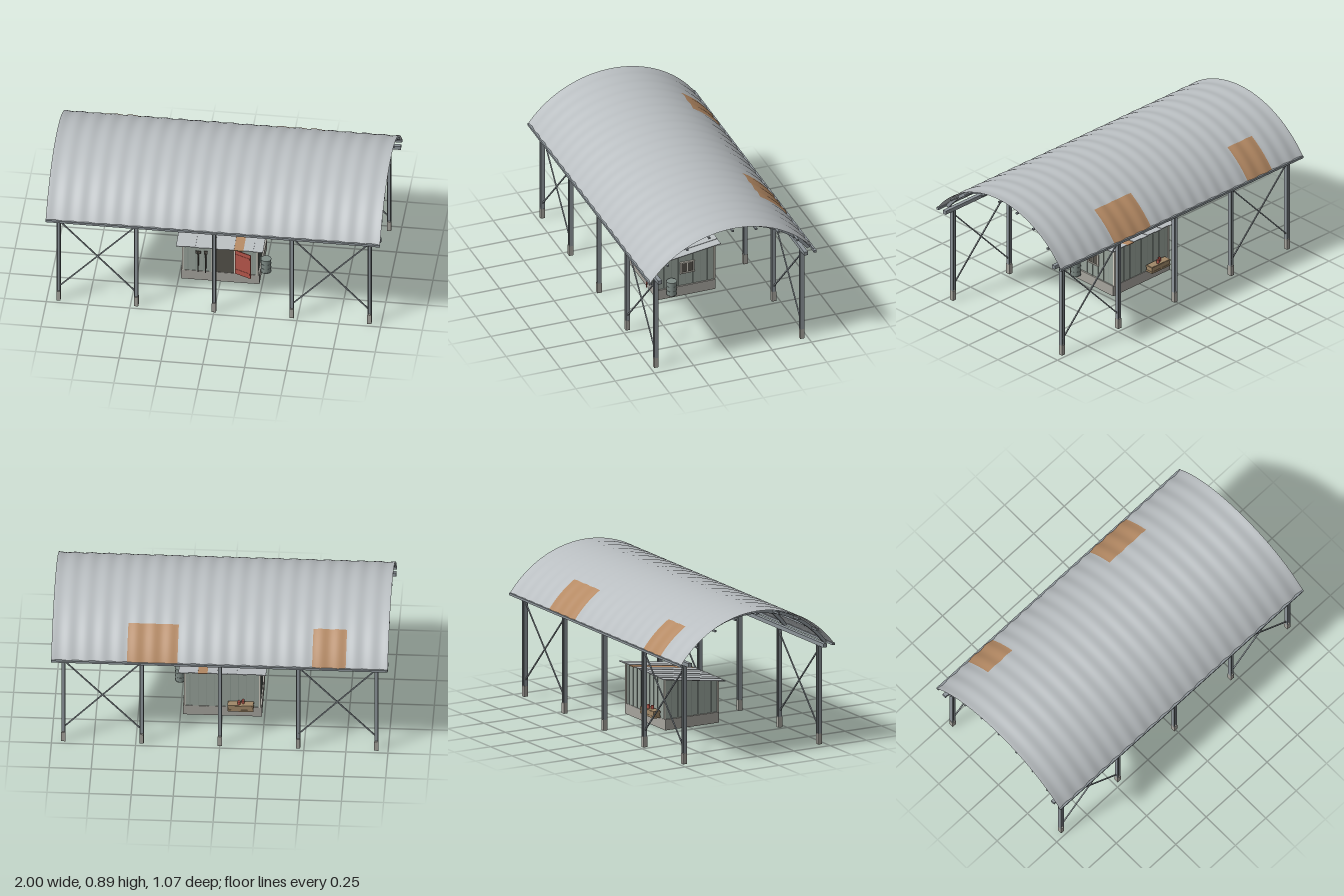
import * as THREE from 'three';
import { ParametricGeometry } from 'three/addons/geometries/ParametricGeometry.js';

const mat = (color, side = THREE.FrontSide) => new THREE.MeshStandardMaterial({ color, side });
const sheet = mat(0xb9bec1, THREE.DoubleSide), rust = mat(0xb58a64, THREE.DoubleSide);
const steel = mat(0x8d959a), concrete = mat(0xa6a49d), wallPaint = mat(0x98a39b);
const batten = mat(0x8c9890), trim = mat(0xd2cec2), dark = mat(0x55524b), red = mat(0xb3554a);
const wood = mat(0xa08868), drumPaint = mat(0x7f8c87);

const R = 0.653, CY = 0.235, HALF = 0.945; // roof arc radius, centre height, half angle

function mesh(parent, name, geometry, material, x = 0, y = 0, z = 0) {
  const m = new THREE.Mesh(geometry, material);
  m.name = name;
  m.position.set(x, y, z);
  parent.add(m);
  return m;
}

function box(parent, name, material, w, h, d, x, y, z) {
  return mesh(parent, name, new THREE.BoxGeometry(w, h, d), material, x, y, z);
}

function cylinder(parent, name, material, r, h, x, y, z, sides = 20) {
  return mesh(parent, name, new THREE.CylinderGeometry(r, r, h, sides), material, x, y, z);
}

// Square bar between two points
function bar(parent, name, material, a, b, size) {
  const m = box(parent, name, material, size, size, a.distanceTo(b), 0, 0, 0);
  m.position.copy(a).add(b).multiplyScalar(0.5);
  m.lookAt(b);
  return m;
}

// Rippled curved sheet between two x positions and two arc angles
function curvedSheet(x0, x1, a0, a1, lift = 0) {
  const fn = (u, v, p) => {
    const x = x0 + (x1 - x0) * u, a = a0 + (a1 - a0) * v;
    const r = R + lift + 0.0025 * Math.cos(x * Math.PI * 20);
    p.set(x, CY + r * Math.cos(a), r * Math.sin(a));
  };
  return new ParametricGeometry(fn, Math.round((x1 - x0) * 80), Math.max(8, Math.round(Math.abs(a0 - a1) * 28)));
}

function buildCanopy() {
  const g = new THREE.Group();
  g.name = 'canopy';
  mesh(g, 'curvedRoof', curvedSheet(-1, 1, HALF, -HALF), sheet);
  for (const [x0, x1] of [[-0.75, -0.55], [0.25, 0.55]])
    mesh(g, 'rustyRoofPatch', curvedSheet(x0, x1, -0.565, -HALF, 0.0015), rust);

  // Arched ribs
  const arch = new THREE.Shape();
  arch.absarc(0, 0, 0.644, Math.PI / 2 - 0.92, Math.PI / 2 + 0.92, false);
  arch.absarc(0, 0, 0.624, Math.PI / 2 + 0.92, Math.PI / 2 - 0.92, true);
  const ribGeo = new THREE.ExtrudeGeometry(arch, { depth: 0.02, bevelEnabled: false, curveSegments: 32 });
  ribGeo.translate(0, 0, -0.01).rotateY(-Math.PI / 2);

  // Posts with two flanges and a web, on concrete feet
  const columns = [-0.93, -0.465, 0, 0.465, 0.93];
  for (const x of columns) {
    mesh(g, 'archRib', ribGeo, steel, x, CY, 0);
    for (const z of [-0.465, 0.465]) {
      const post = new THREE.Group();
      post.name = 'post';
      post.position.set(x, 0, z);
      g.add(post);
      for (const s of [-1, 1]) box(post, 'postFlange', steel, 0.005, 0.545, 0.025, s * 0.0095, 0.3375, 0);
      box(post, 'postWeb', steel, 0.016, 0.545, 0.006, 0, 0.3375, 0);
      box(post, 'postFoot', concrete, 0.025, 0.065, 0.027, 0, 0.0325, 0);
    }
  }

  // Purlins follow the arc
  for (let i = -3; i <= 3; i++) {
    const a = i * 0.235;
    box(g, 'purlin', steel, 2, 0.011, 0.012, 0, CY + 0.638 * Math.cos(a), 0.638 * Math.sin(a));
  }

  // Long beams and diagonal bracing of the end bays
  for (const z of [-1, 1]) {
    box(g, 'wallBeam', steel, 2, 0.024, 0.024, 0, 0.618, z * 0.465);
    box(g, 'eaveBeam', steel, 2, 0.014, 0.017, 0, 0.62, z * 0.524);
    for (const s of [-1, 1])
      for (const [y0, y1] of [[0.1, 0.58], [0.58, 0.1]])
        bar(g, 'crossBrace', steel, new THREE.Vector3(s * 0.925, y0, z * 0.465),
          new THREE.Vector3(s * 0.47, y1, z * 0.465), 0.007);
  }
  return g;
}

function buildHut() {
  const g = new THREE.Group();
  g.name = 'hut';
  const topAt = z => 0.295 - z * 0.148; // underside of the sloping roof
  box(g, 'foundation', concrete, 0.47, 0.065, 0.37, 0, 0.045, 0);

  // Walls with a sloping top
  const side = new THREE.Shape([[-0.182, 0.077], [0.182, 0.077], [0.182, topAt(0.182)], [-0.182, topAt(-0.182)]]
    .map(([z, y]) => new THREE.Vector2(z, y)));
  const walls = new THREE.ExtrudeGeometry(side, { depth: 0.45, bevelEnabled: false });
  mesh(g, 'walls', walls.translate(0, 0, -0.225).rotateY(-Math.PI / 2), wallPaint);

  // Seams on the wall panels
  const upright = (name, m, w, d, x, z) => {
    const h = topAt(z) - 0.079;
    box(g, name, m, w, h, d, x, 0.078 + h / 2, z);
  };
  for (let i = -3; i <= 3; i++)
    for (const s of [-1, 1]) upright('sideWallSeam', batten, 0.004, 0.004, s * 0.226, i * 0.046);
  for (let i = -4; i <= 4; i++) {
    upright('backWallSeam', batten, 0.004, 0.004, i * 0.048, -0.183);
    if (i < -1 || i > 1) upright('frontWallSeam', batten, 0.004, 0.004, i * 0.048, 0.183);
  }
  for (const x of [-0.223, 0.223])
    for (const z of [-0.183, 0.183]) upright('cornerTrim', trim, 0.01, 0.01, x, z);

  // Sloping roof of overlapping panels
  const roof = new THREE.Group();
  roof.name = 'hutRoof';
  roof.position.set(0, 0.3, 0.002);
  roof.rotation.x = 0.147;
  g.add(roof);
  for (let i = 0; i < 9; i++)
    box(roof, 'roofPanel', i === 6 ? rust : sheet, 0.0585, 0.004, 0.43, (i - 4) * 0.0577, (i % 2) * 0.003, 0);

  // Doorway and door swung open
  box(g, 'doorway', dark, 0.13, 0.176, 0.006, 0.02, 0.167, 0.182);
  box(g, 'doorLintel', trim, 0.14, 0.006, 0.008, 0.02, 0.258, 0.183);
  for (const x of [-0.048, 0.088]) box(g, 'doorJamb', trim, 0.006, 0.177, 0.008, x, 0.1665, 0.183);
  const door = new THREE.Group();
  door.name = 'door';
  door.position.set(0.09, 0.171, 0.192);
  door.rotation.y = -0.41;
  g.add(door);
  box(door, 'doorLeaf', red, 0.108, 0.172, 0.005, 0.054, 0, 0);
  for (const y of [-0.055, 0.055]) box(door, 'doorRail', red, 0.1, 0.01, 0.008, 0.054, y, 0);

  // Side window
  box(g, 'windowPane', dark, 0.006, 0.066, 0.08, 0.226, 0.198, -0.008);
  for (const y of [0.163, 0.234]) box(g, 'windowSill', trim, 0.014, 0.006, 0.094, 0.229, y, -0.008);
  for (const z of [-0.049, -0.008, 0.033]) box(g, 'windowBar', trim, 0.01, 0.07, 0.006, 0.228, 0.198, z);

  // Tools leaning on the front wall
  for (const [x, w, h, headH] of [[-0.13, 0.03, 0.148, 0.018], [-0.085, 0.02, 0.15, 0.02]]) {
    const tool = new THREE.Group();
    tool.name = 'gardenTool';
    tool.position.set(x, 0.08, 0.2);
    tool.rotation.x = -0.06;
    g.add(tool);
    cylinder(tool, 'toolHandle', dark, 0.004, h, 0, h / 2, 0, 8);
    box(tool, 'toolHead', dark, w, headH, 0.006, 0, h - headH / 2, 0);
  }
  return g;
}

function buildClutter() {
  const g = new THREE.Group();
  g.name = 'yardItems';
  // Water drum
  cylinder(g, 'drum', drumPaint, 0.03, 0.09, 0.265, 0.1, 0.105, 24);
  for (const y of [0.057, 0.085, 0.115, 0.144]) cylinder(g, 'drumHoop', drumPaint, 0.0315, 0.004, 0.265, y, 0.105, 24);

  // Crate with cans behind the hut
  box(g, 'crate', wood, 0.15, 0.044, 0.046, -0.11, 0.102, -0.214);
  for (const y of [0.088, 0.116]) box(g, 'crateSlat', wood, 0.154, 0.01, 0.05, -0.11, y, -0.214);
  for (const [x, z] of [[-0.125, -0.208], [-0.1, -0.22]]) {
    cylinder(g, 'can', red, 0.009, 0.022, x, 0.135, z, 14);
  }
  return g;
}

export function createModel() {
  const model = new THREE.Group();
  model.name = 'shelterWithHut';
  model.add(buildCanopy(), buildHut(), buildClutter());
  return model;
}
